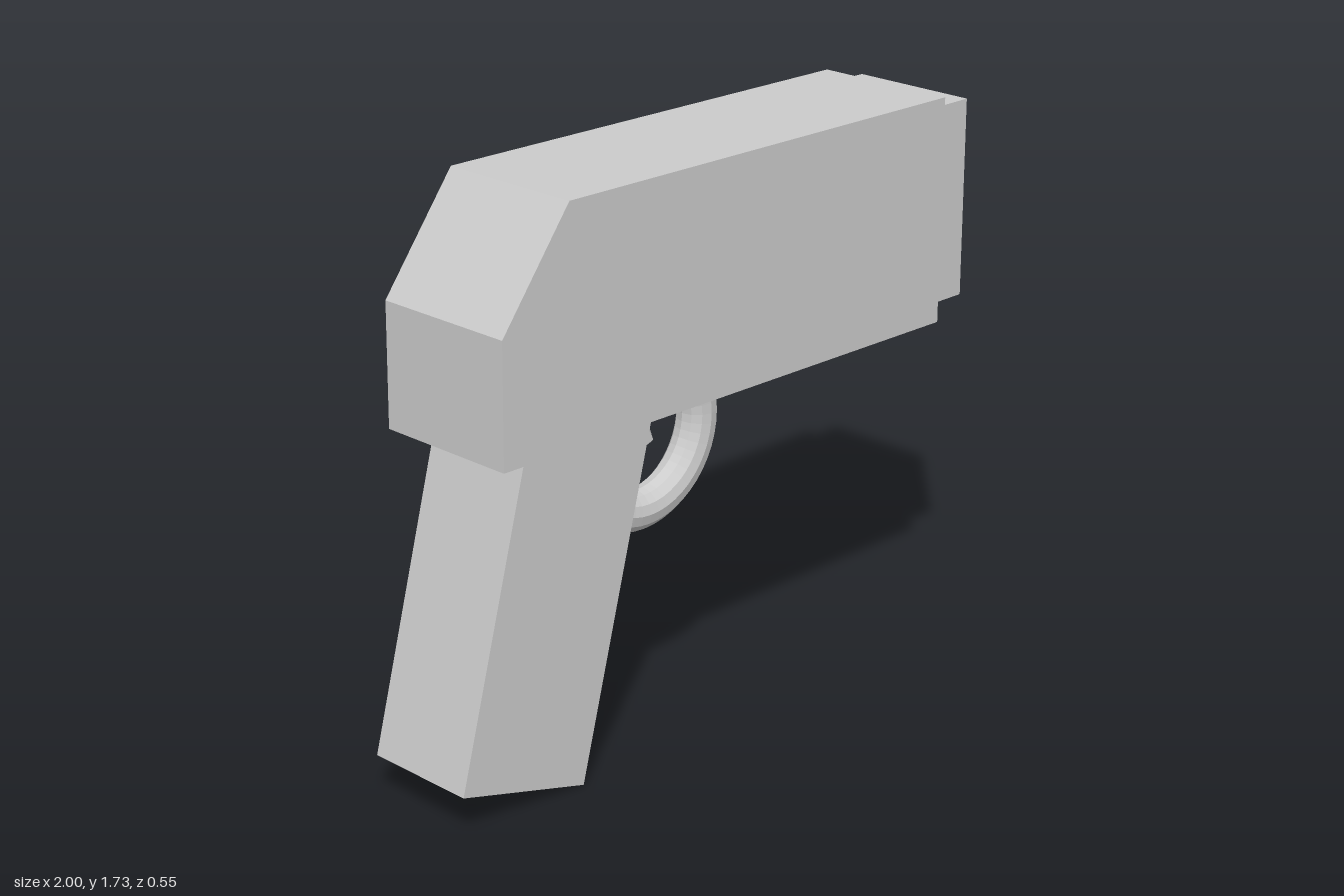
import * as THREE from 'three';

const MID_Z = 0.045; // shared centre plane of all parts

const material = new THREE.MeshStandardMaterial({ color: 0xcccccc, flatShading: true });

function addPart(group, name, geometry) {
  const mesh = new THREE.Mesh(geometry, material);
  mesh.name = name;
  group.add(mesh);
  return mesh;
}

const toShape = (points) => new THREE.Shape(points.map(([x, y]) => new THREE.Vector2(x, y)));

// Side profile in x/y, extruded symmetrically about the centre plane
function slab(points, width) {
  const geometry = new THREE.ExtrudeGeometry(toShape(points), { depth: width, bevelEnabled: false });
  return geometry.translate(0, 0, MID_Z - width / 2);
}

const rectangle = (x0, x1, y0, y1) => [[x0, y0], [x1, y0], [x1, y1], [x0, y1]];

export function createModel() {
  const model = new THREE.Group();
  model.name = 'blaster';

  // Main housing with a sloped rear corner
  addPart(model, 'body', slab(
    [[-0.875, 1.045], [0.868, 1.035], [0.87, 1.723], [-0.63, 1.731], [-0.872, 1.41]], 0.46));

  // Raked handle, running up into the housing
  addPart(model, 'grip', slab(
    [[-1, 0.125], [-0.555, 0], [-0.26, 1.115], [-0.735, 1.115]], 0.36));

  // Front plate with two rectangular barrel openings
  const plate = toShape(rectangle(-0.25, 0.16, 1.085, 1.69));
  for (const [y0, y1] of [[1.175, 1.345], [1.43, 1.593]]) {
    plate.holes.push(toShape(rectangle(-0.193, 0.1, y0, y1)));
  }
  const muzzle = addPart(model, 'muzzle',
    new THREE.ExtrudeGeometry(plate, { depth: 0.132, bevelEnabled: false }));
  muzzle.rotation.y = Math.PI / 2;
  muzzle.position.x = 0.868;

  // Trigger guard ring, partly buried in the grip and housing
  const guard = addPart(model, 'triggerGuard', new THREE.TorusGeometry(0.243, 0.06, 12, 48));
  guard.position.set(-0.162, 0.91, 0.042);

  // Six-sided trigger, tilted back
  const trigger = addPart(model, 'trigger',
    new THREE.CylinderGeometry(0.054, 0.054, 0.32, 6).rotateY(0.4));
  trigger.rotation.z = 0.44;
  trigger.position.set(-0.235, 1.025, MID_Z);

  // Faceted knob set into the back side
  const knob = addPart(model, 'knob', new THREE.IcosahedronGeometry(0.184, 1));
  knob.rotation.z = -0.5536;
  knob.position.set(-0.473, 1.395, -0.094);

  return model;
}
